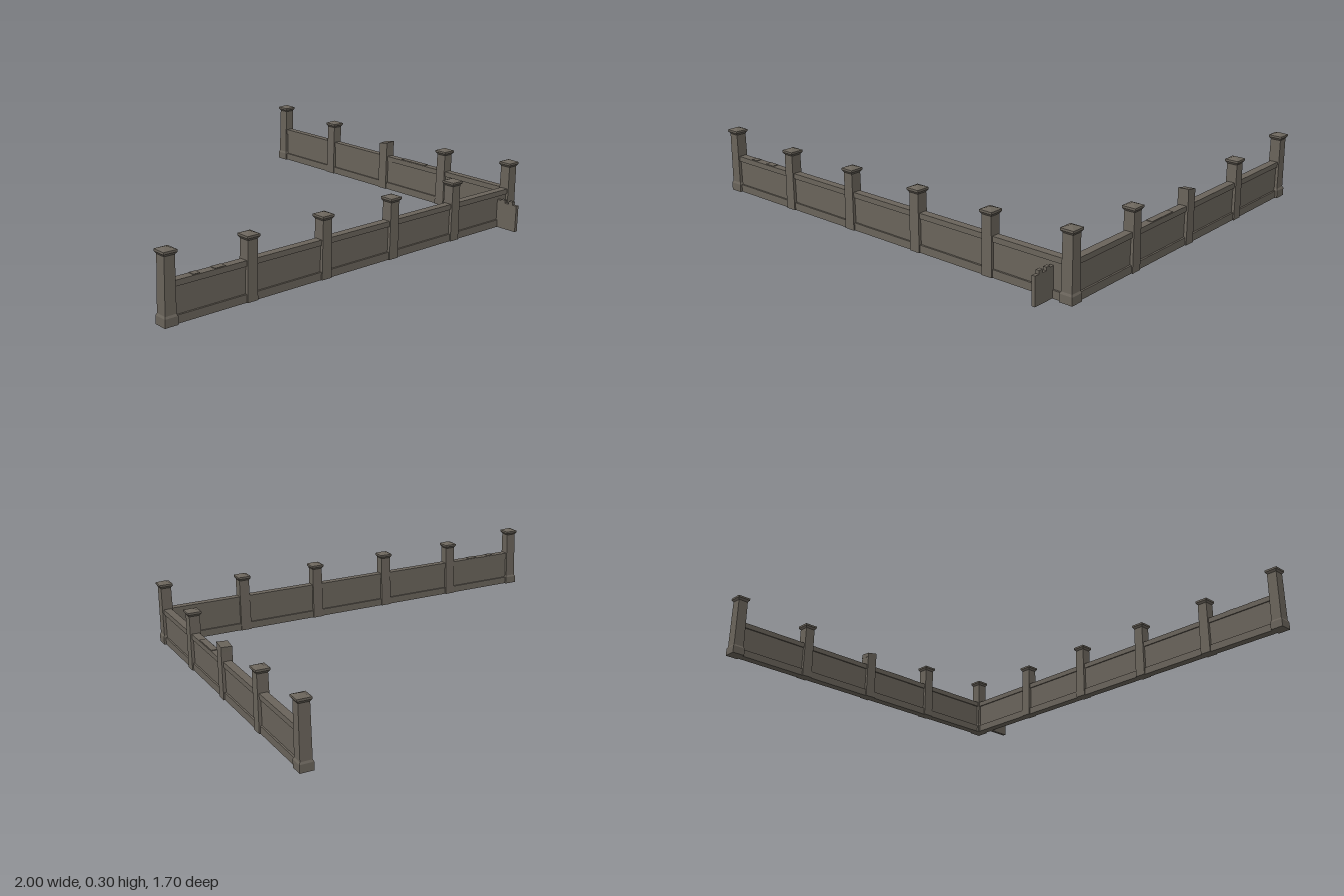
import * as THREE from 'three';

const stone = new THREE.MeshStandardMaterial({ color: 0x6a645b });
stone.name = 'weatheredStone';

function box(parent, name, w, h, d, x, y, z) {
  const m = new THREE.Mesh(new THREE.BoxGeometry(w, h, d), stone);
  m.name = name;
  m.position.set(x, y + h / 2, z);
  parent.add(m);
  return m;
}

// Square block whose bottom and top widths differ
function taper(parent, name, bottom, top, h, y) {
  const g = new THREE.CylinderGeometry(top * Math.SQRT1_2, bottom * Math.SQRT1_2, h, 4).toNonIndexed();
  g.rotateY(Math.PI / 4);
  g.computeVertexNormals();
  const m = new THREE.Mesh(g, stone);
  m.name = name;
  m.position.y = y + h / 2;
  parent.add(m);
}

function pillar(x, z, height, flared) {
  const p = new THREE.Group();
  p.name = 'pillar';
  p.position.set(x, 0, z);
  const shaftTop = height - 0.03;
  if (flared) {
    taper(p, 'pillarFoot', 0.06, 0.06, 0.035, 0);
    taper(p, 'pillarFootSlope', 0.06, 0.048, 0.012, 0.035);
  }
  taper(p, 'pillarShaft', 0.052, 0.048, shaftTop, 0);
  taper(p, 'pillarNeck', 0.048, 0.062, 0.01, shaftTop);
  taper(p, 'pillarCap', 0.062, 0.062, 0.009, shaftTop + 0.01);
  taper(p, 'pillarCapPeak', 0.062, 0.004, 0.011, shaftTop + 0.019);
  return p;
}

// Broken pillar with a sloping top
function brokenPillar(x, z) {
  const p = new THREE.Group();
  p.name = 'brokenPillar';
  p.position.set(x, 0, z);
  taper(p, 'brokenShaft', 0.052, 0.05, 0.212, 0);
  const top = box(p, 'brokenTop', 0.05, 0.02, 0.052, 0, 0.212, 0);
  const pos = top.geometry.attributes.position;
  for (let i = 0; i < pos.count; i++)
    if (pos.getY(i) > 0) pos.setY(i, 0.016 + pos.getZ(i) * 0.18 + pos.getX(i) * 0.06);
  top.geometry.computeVertexNormals();
  return p;
}

// Wall along x with a plinth, a recessed panel and a coping
function wall(name, length) {
  const w = new THREE.Group();
  w.name = name;
  box(w, 'plinth', length, 0.034, 0.04, 0, 0, 0);
  box(w, 'panel', length, 0.112, 0.024, 0, 0.034, 0);
  box(w, 'coping', length, 0.024, 0.036, 0, 0.146, 0);
  return w;
}

export function createModel() {
  const model = new THREE.Group();
  model.name = 'cornerWall';
  const cx = 0.967, cz = 0.728, step = 0.387;

  // Two wall runs meeting at the front corner
  const front = wall('frontWall', 1.91);
  front.position.z = cz;
  const side = wall('sideWall', 1.53);
  side.rotation.y = Math.PI / 2;
  side.position.set(cx, 0, -0.045);
  model.add(front, side);

  // Pillars: tall at the ends and corner, shorter between
  for (let i = 0; i < 6; i++) {
    const end = i === 0 || i === 5;
    model.add(pillar(cx - i * step, cz, end ? 0.303 : 0.281, end));
  }
  for (let i = 1; i < 5; i++) {
    const z = cz - i * step;
    model.add(i === 2 ? brokenPillar(cx, z) : pillar(cx, z, i === 4 ? 0.303 : 0.281, i === 4));
  }

  // Short board fence standing out from the front wall
  const fence = new THREE.Group();
  fence.name = 'boardFence';
  const heights = [0.13, 0.136, 0.122, 0.137, 0.122];
  heights.forEach((h, i) => box(fence, 'fenceBoard', 0.016, h, 0.0215, 0.89, 0, 0.753 + i * 0.0215));
  model.add(fence);

  // Loose chips on the coping
  [[-0.84, 0.03], [-0.73, 0.05]].forEach(([x, w]) =>
    box(model, 'copingChip', w, 0.004, 0.03, x, 0.169, cz));
  box(model, 'copingChip', 0.03, 0.004, 0.15, cx, 0.169, 0.15);
  return model;
}
